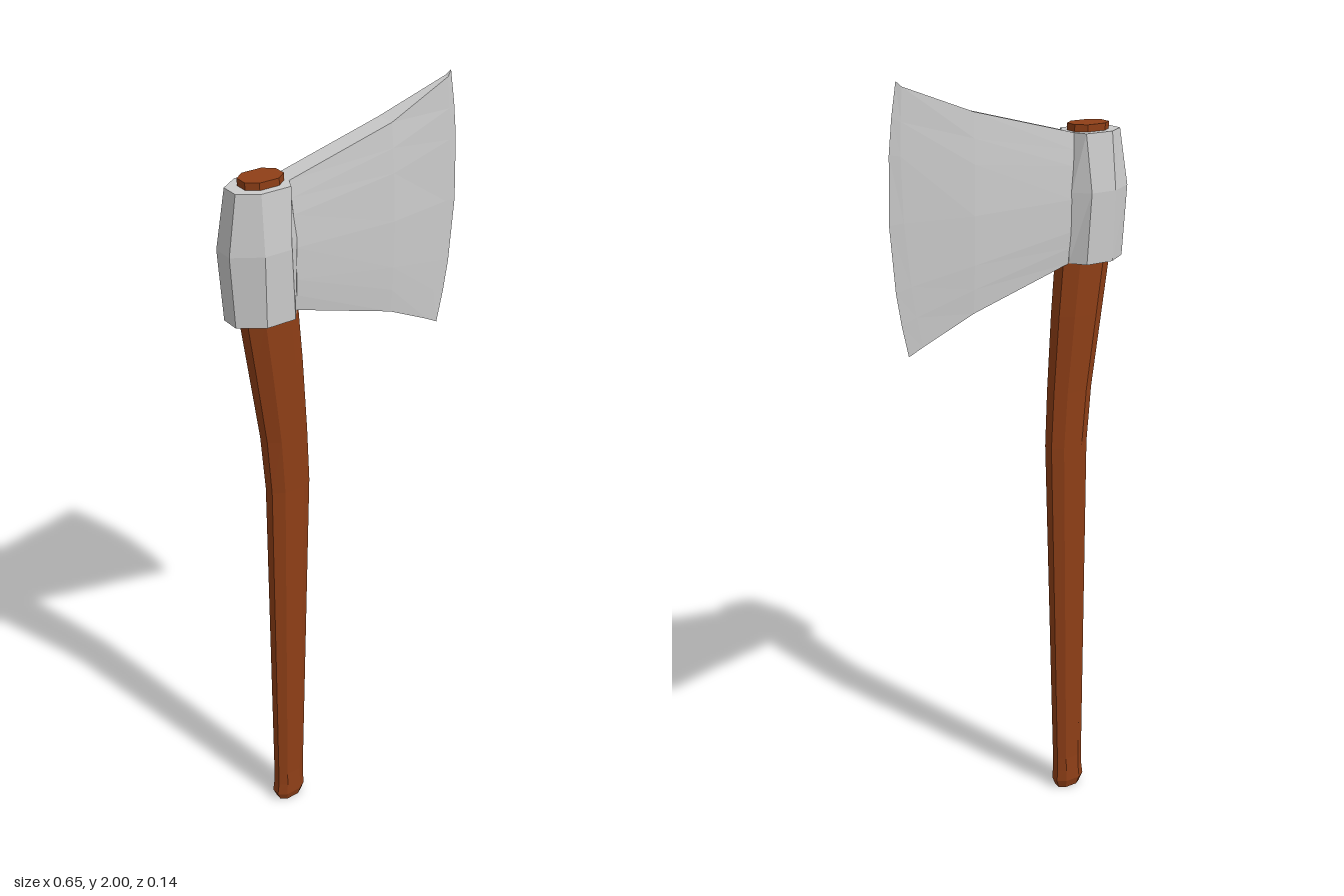
import * as THREE from 'three';

// Skin a list of equal-length rings (counter-clockwise seen from the end they run to) and cap both ends.
function loft(rings) {
  const pos = [];
  const tri = (a, b, c) => pos.push(...a, ...b, ...c);
  const n = rings[0].length;
  for (let i = 0; i < rings.length - 1; i++) {
    for (let k = 0; k < n; k++) {
      const m = (k + 1) % n;
      tri(rings[i][k], rings[i][m], rings[i + 1][m]);
      tri(rings[i][k], rings[i + 1][m], rings[i + 1][k]);
    }
  }
  const first = rings[0], last = rings[rings.length - 1];
  for (let k = 1; k < n - 1; k++) {
    tri(first[0], first[k + 1], first[k]);
    tri(last[0], last[k], last[k + 1]);
  }
  const geometry = new THREE.BufferGeometry();
  geometry.setAttribute('position', new THREE.Float32BufferAttribute(pos, 3));
  geometry.computeVertexNormals();
  return geometry;
}

function part(name, rings, material) {
  const mesh = new THREE.Mesh(loft(rings), material);
  mesh.name = name;
  return mesh;
}

// Elongated octagon between x0 and x1 with half depth d
function octagon(y, x0, x1, d) {
  const c = (x0 + x1) / 2, r = (x1 - x0) / 2;
  return [[1, 0.45], [0.5, 1], [-0.5, 1], [-1, 0.45], [-1, -0.45], [-0.5, -1], [0.5, -1], [1, -0.45]]
    .map(([u, v]) => [c + u * r, y, -v * d]);
}

export function createModel() {
  const wood = new THREE.MeshStandardMaterial({ color: 0x8f3f17, flatShading: true });
  const steel = new THREE.MeshStandardMaterial({ color: 0xcccccc, flatShading: true });
  const axe = new THREE.Group();
  axe.name = 'axe';

  // Handle: y, back x, front x, half depth
  const handle = [
    [0, -0.232, -0.163, 0.02],
    [0.025, -0.242, -0.154, 0.027],
    [0.06, -0.237, -0.156, 0.026],
    [0.1, -0.236, -0.155, 0.025],
    [1.05, -0.23, -0.12, 0.032],
    [1.2, -0.24, -0.125, 0.035],
    [1.4, -0.266, -0.136, 0.04],
    [1.535, -0.284, -0.146, 0.042],
    [1.84, -0.275, -0.175, 0.036],
    [1.867, -0.275, -0.175, 0.036],
  ].map((r) => octagon(...r));
  axe.add(part('handle', handle, wood));

  // Collar around the handle: y, x of front / cheek front / cheek back / poll, then their half depths
  const collar = [
    [1.535, -0.156, -0.184, -0.26, -0.318, 0.027, 0.065, 0.025],
    [1.71, -0.156, -0.192, -0.262, -0.328, 0.035, 0.069, 0.027],
    [1.85, -0.167, -0.182, -0.258, -0.304, 0.024, 0.055, 0.023],
  ].map(([y, a, b, c, p, za, zc, zp]) => {
    const side = [[a, za], [b, zc], [c, zc], [p, zp]];
    return [
      ...side.map(([x, z]) => [x, y, -z]),
      ...side.reverse().map(([x, z]) => [x, y, z]),
    ];
  });
  axe.add(part('collar', collar, steel));

  // Blade: x at bottom / middle / top, bottom y, top y, thickness factor
  const levels = [1, 0.875, 0.75, 0.5, 0.25, 0.125, 0];
  const blade = [
    [-0.16, -0.16, -0.168, 1.535, 1.85, 1],
    [0.115, 0.115, 0.11, 1.45, 1.922, 1],
    [0.245, 0.288, 0.283, 1.383, 1.988, 0.24],
    [0.28, 0.322, 0.295, 1.363, 2, 0],
  ].map(([xb, xm, xt, yb, yt, f]) => {
    const side = levels.map((t) => {
      const bow = 4 * t * (1 - t);
      const x = xb + (xt - xb) * t + (xm - (xb + xt) / 2) * bow;
      return [x, yb + (yt - yb) * t, f * (0.025 + 0.01 * bow)];
    });
    return [...side, ...side.map(([x, y, z]) => [x, y, -z]).reverse()];
  });
  axe.add(part('blade', blade, steel));

  return axe;
}
